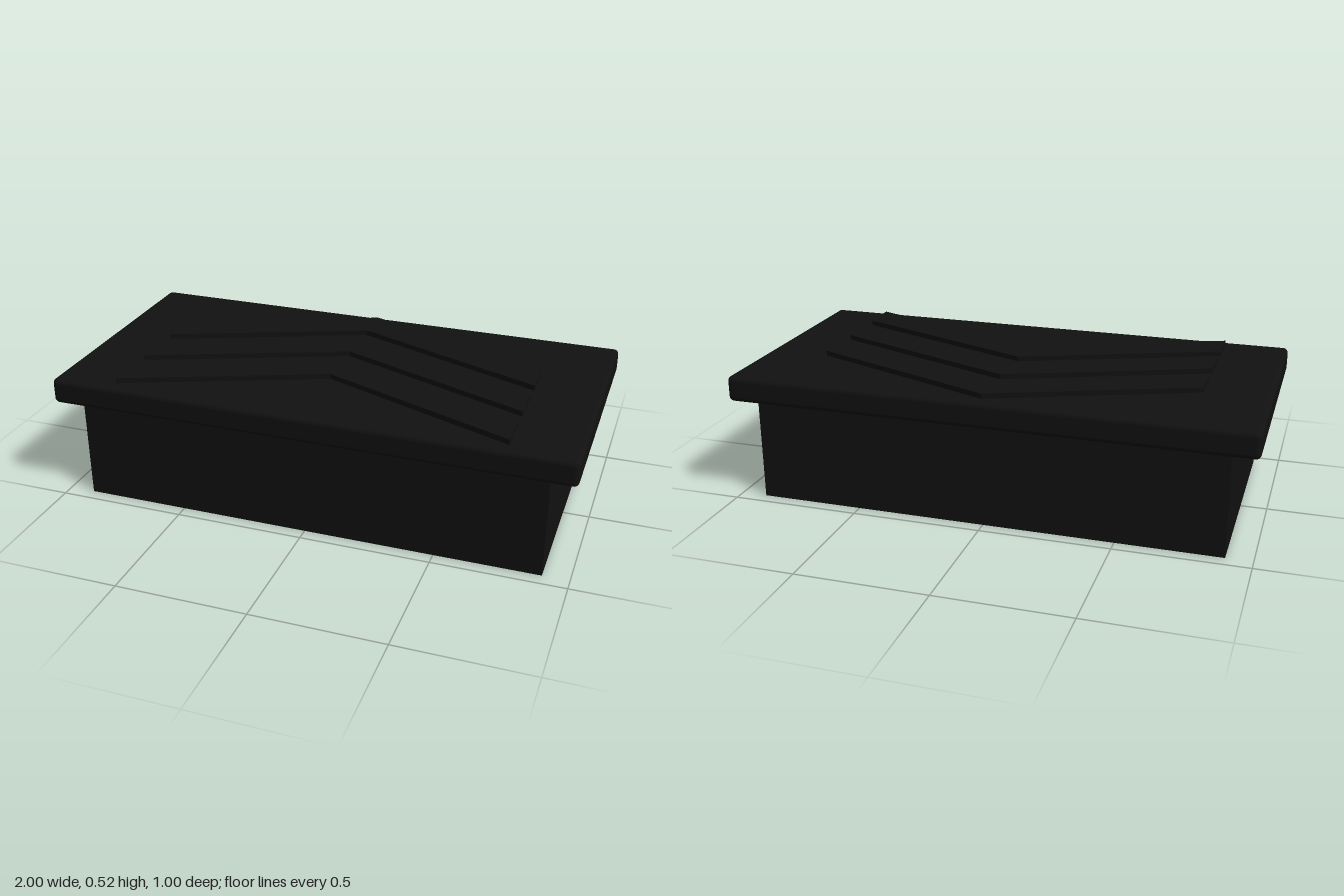
import * as THREE from 'three';
import { RoundedBoxGeometry } from 'three/addons/geometries/RoundedBoxGeometry.js';

export function createModel() {
  const group = new THREE.Group();
  const material = new THREE.MeshStandardMaterial({ color: 0x111111 });

  const add = (name, geometry, y, z = 0) => {
    const mesh = new THREE.Mesh(geometry, material);
    mesh.name = name;
    mesh.position.set(0, y, z);
    group.add(mesh);
  };

  // Plain block below, wider rounded slab on top
  add('base', new THREE.BoxGeometry(1.8, 0.4, 0.9), 0.2);
  add('topSlab', new RoundedBoxGeometry(2, 0.1, 1, 4, 0.02), 0.45);

  // Raised chevron, pointing to the back; shape y becomes -z
  const half = 0.75, rise = 0.3, width = 0.15;
  const shape = new THREE.Shape([
    [-half, 0], [0, rise], [half, 0],
    [half, width], [0, rise + width], [-half, width],
  ].map(([x, y]) => new THREE.Vector2(x, y)));
  const chevron = new THREE.ExtrudeGeometry(shape, { depth: 0.03, bevelEnabled: false });
  chevron.rotateX(-Math.PI / 2);

  // Three evenly spaced ridges
  for (let i = 0; i < 3; i++) add(`chevronRidge${i + 1}`, chevron, 0.49, 0.45 - i * 0.225);

  return group;
}
